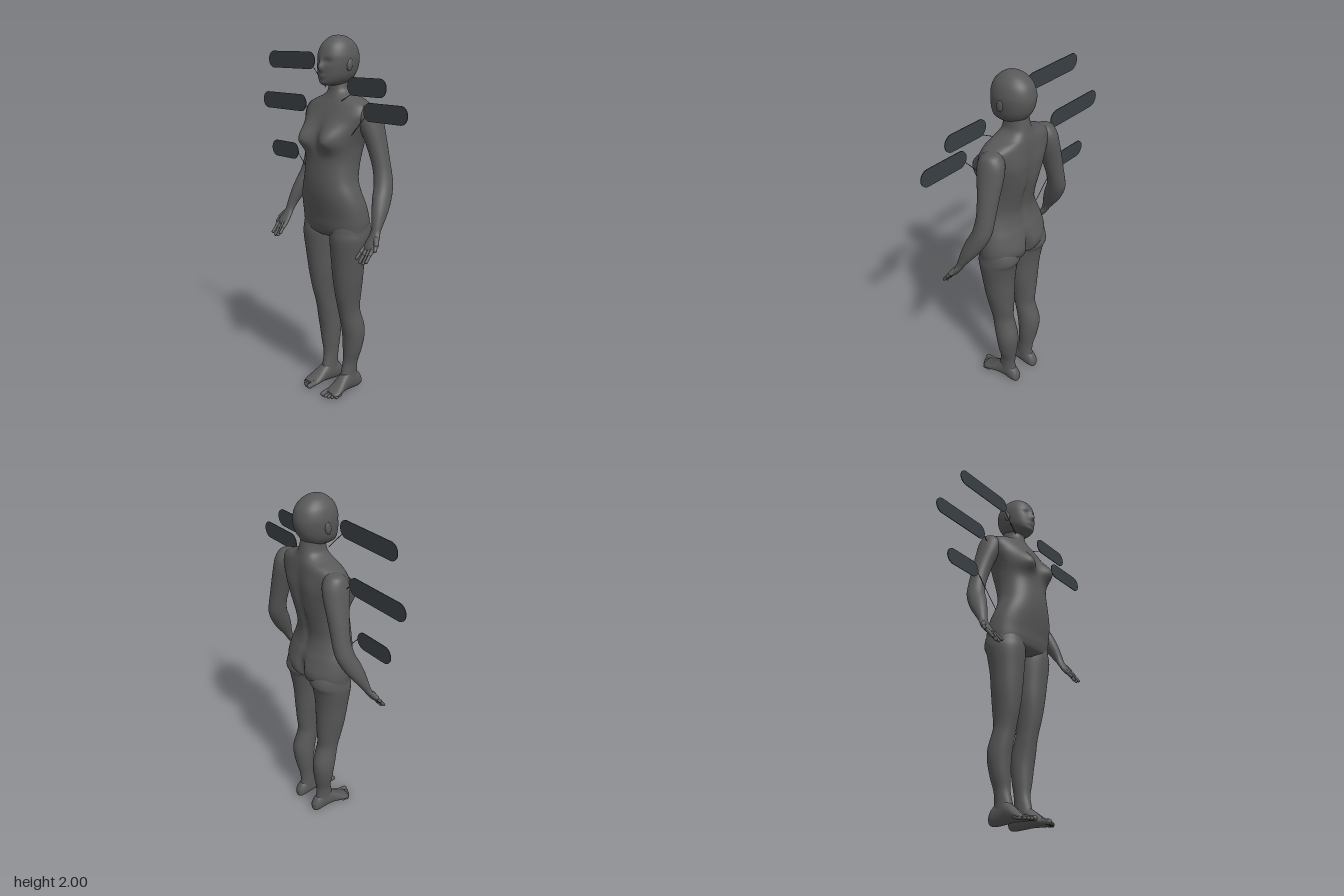
import * as THREE from 'three';

const CX = 0.055; // the figure stands slightly left of the origin
const skin = new THREE.MeshStandardMaterial({ color: 0x595959 });
const tagMat = new THREE.MeshStandardMaterial({ color: 0x3a4044 });

const spline = (a, b, c, d, t) =>
  0.5 * (2 * b + (c - a) * t + (2 * a - 5 * b + 4 * c - d) * t * t + (3 * b - a - 3 * c + d) * t * t * t);

// Smooth skin over cross-sections [position, centre x, half width, high edge, low edge].
// axis 'y': rows run downwards, edges are front and back z. axis 'z': rows run forwards, edges are top and bottom y.
function loft(rows, { axis = 'y', side = 1, power = 2, seg = 48, steps = 5, deform } = {}) {
  const at = i => rows[Math.min(rows.length - 1, Math.max(0, i))];
  const rings = [];
  for (let i = 0; i < rows.length - 1; i++)
    for (let s = 0; s < steps; s++)
      rings.push(at(i).map((v, k) => spline(at(i - 1)[k], v, at(i + 1)[k], at(i + 2)[k], s / steps)));
  rings.push(at(rows.length - 1));

  const pos = [], idx = [];
  const put = (x, e, t) => {
    const v = axis === 'y' ? new THREE.Vector3(x, t, e) : new THREE.Vector3(x, e, t);
    if (deform) deform(v);
    pos.push(v.x * side, v.y, v.z);
  };
  const tri = (a, b, c) => (side > 0 ? idx.push(a, b, c) : idx.push(a, c, b));
  const soft = v => Math.sign(v) * Math.abs(v) ** (2 / power);
  for (const [t, c, w, hi, lo] of rings)
    for (let j = 0; j < seg; j++) {
      const a = (j / seg) * Math.PI * 2;
      put(c + w * soft(Math.cos(a)), (hi + lo) / 2 + ((hi - lo) / 2) * soft(Math.sin(a)), t);
    }
  for (let i = 0; i < rings.length - 1; i++)
    for (let j = 0; j < seg; j++) {
      const a = i * seg + j, b = i * seg + ((j + 1) % seg);
      tri(a, b, a + seg);
      tri(b, b + seg, a + seg);
    }
  // end caps
  const last = rings.length - 1, n = rings.length * seg;
  for (const r of [rings[0], rings[last]]) put(r[1], (r[3] + r[4]) / 2, r[0]);
  for (let j = 0; j < seg; j++) {
    const k = (j + 1) % seg;
    tri(n, k, j);
    tri(n + 1, last * seg + j, last * seg + k);
  }
  const geo = new THREE.BufferGeometry();
  geo.setAttribute('position', new THREE.Float32BufferAttribute(pos, 3));
  geo.setIndex(idx);
  geo.computeVertexNormals();
  return geo;
}

const bell = (v, x, y, sx, sy) => Math.exp(-(((v.x - x) / sx) ** 2) - ((v.y - y) / sy) ** 2);

function add(parent, name, geo, mat = skin) {
  const mesh = new THREE.Mesh(geo, mat);
  mesh.name = name;
  parent.add(mesh);
  return mesh;
}

// Rounded rod between two points
function rod(parent, name, a, b, r, mat = skin) {
  const p = new THREE.Vector3(...a), q = new THREE.Vector3(...b), d = q.clone().sub(p);
  const mesh = add(parent, name, new THREE.CapsuleGeometry(r, d.length(), 5, 12), mat);
  mesh.position.copy(p).add(q).multiplyScalar(0.5);
  mesh.quaternion.setFromUnitVectors(new THREE.Vector3(0, 1, 0), d.normalize());
}

// Face relief: nose, lips, chin and eye sockets
function face(v) {
  if (v.z < 0) return;
  const m = { x: Math.abs(v.x), y: v.y };
  v.z += 0.017 * bell(v, 0, 1.835, 0.016, 0.02) + 0.009 * bell(v, 0, 1.86, 0.012, 0.028)
    + 0.006 * bell(v, 0, 1.792, 0.026, 0.013) + 0.005 * bell(v, 0, 1.757, 0.03, 0.012)
    - 0.008 * bell(m, 0.034, 1.868, 0.022, 0.016);
}

// Trunk relief: breasts and collar in front; spine groove, shoulder blades and seat cleft behind
function trunk(v) {
  const m = { x: Math.abs(v.x), y: v.y };
  if (v.z > 0) {
    v.z += 0.062 * bell(m, 0.097, 1.465, 0.066, v.y < 1.465 ? 0.054 : 0.085);
  } else if (v.z < -0.06) {
    v.z += 0.014 * bell(v, 0, 1.36, 0.025, 0.2) - 0.008 * bell(m, 0.09, 1.54, 0.05, 0.08)
      + 0.045 * bell(v, 0, 1.0, 0.02, 0.075) - 0.006 * bell(m, 0.09, 1.03, 0.06, 0.05);
  }
}

const headRows = [
  [2.0, 0, 0.004, -0.032, -0.045], [1.995, 0, 0.03, -0.002, -0.075], [1.978, 0, 0.057, 0.028, -0.11],
  [1.945, 0, 0.082, 0.06, -0.143], [1.9, 0, 0.095, 0.077, -0.159], [1.86, 0, 0.095, 0.081, -0.159],
  [1.82, 0, 0.089, 0.081, -0.148], [1.79, 0, 0.08, 0.079, -0.13], [1.765, 0, 0.064, 0.076, -0.11],
  [1.75, 0, 0.045, 0.066, -0.09], [1.743, 0, 0.02, 0.045, -0.06],
];
const trunkRows = [
  [1.8, 0, 0.055, 0, -0.115], [1.75, 0, 0.057, 0.008, -0.127], [1.715, 0, 0.068, 0.012, -0.135],
  [1.69, 0, 0.105, 0.02, -0.141], [1.672, 0, 0.158, 0.028, -0.145], [1.645, 0, 0.208, 0.043, -0.149],
  [1.6, 0, 0.224, 0.066, -0.153], [1.55, 0, 0.21, 0.086, -0.156], [1.5, 0, 0.189, 0.103, -0.155],
  [1.45, 0, 0.172, 0.113, -0.152], [1.4, 0, 0.163, 0.12, -0.143], [1.33, 0, 0.159, 0.125, -0.125],
  [1.25, 0, 0.167, 0.13, -0.11], [1.18, 0, 0.19, 0.127, -0.118], [1.12, 0, 0.207, 0.118, -0.138],
  [1.05, 0, 0.216, 0.104, -0.155], [1.0, 0, 0.215, 0.097, -0.153], [0.96, 0, 0.205, 0.083, -0.13],
  [0.935, 0, 0.15, 0.05, -0.08],
];
const armRows = [
  [1.66, 0.19, 0.012, -0.065, -0.085], [1.655, 0.193, 0.033, -0.045, -0.108], [1.638, 0.198, 0.05, -0.022, -0.128],
  [1.6, 0.203, 0.06, -0.002, -0.147], [1.54, 0.216, 0.061, -0.006, -0.152], [1.45, 0.243, 0.054, -0.03, -0.15],
  [1.36, 0.268, 0.049, -0.045, -0.148], [1.3, 0.284, 0.047, -0.045, -0.148], [1.24, 0.3, 0.047, -0.033, -0.142],
  [1.18, 0.316, 0.045, -0.006, -0.118], [1.12, 0.332, 0.04, 0.015, -0.082], [1.06, 0.346, 0.031, 0.03, -0.036],
  [1.02, 0.352, 0.028, 0.04, -0.006], [0.99, 0.357, 0.036, 0.055, 0.014], [0.96, 0.359, 0.041, 0.075, 0.034],
  [0.94, 0.357, 0.039, 0.083, 0.05], [0.93, 0.356, 0.03, 0.082, 0.06],
];
const legRows = [
  [1.09, 0.105, 0.06, 0.03, -0.1], [1.03, 0.108, 0.098, 0.07, -0.138], [0.97, 0.109, 0.106, 0.083, -0.152],
  [0.92, 0.11, 0.105, 0.086, -0.132], [0.81, 0.106, 0.092, 0.075, -0.115], [0.7, 0.102, 0.082, 0.063, -0.111],
  [0.6, 0.099, 0.067, 0.048, -0.109], [0.52, 0.096, 0.058, 0.028, -0.105], [0.47, 0.096, 0.058, 0.016, -0.117],
  [0.4, 0.099, 0.061, 0.002, -0.139], [0.335, 0.098, 0.061, -0.01, -0.141], [0.25, 0.092, 0.052, -0.017, -0.129],
  [0.18, 0.084, 0.039, -0.02, -0.115], [0.12, 0.081, 0.036, -0.008, -0.112], [0.07, 0.081, 0.035, 0.004, -0.122],
  [0.04, 0.081, 0.028, 0, -0.115],
];
const footRows = [
  [-0.146, 0.081, 0.01, 0.05, 0.02], [-0.138, 0.081, 0.025, 0.072, 0.006], [-0.11, 0.081, 0.034, 0.105, 0],
  [-0.05, 0.082, 0.036, 0.13, 0.002], [0, 0.086, 0.041, 0.1, 0.006], [0.045, 0.091, 0.048, 0.065, 0.005],
  [0.08, 0.093, 0.049, 0.043, 0.005], [0.1, 0.09, 0.04, 0.034, 0.01],
];

function limbs(body, side, label) {
  const s = (x, y, z) => [x * side, y, z];
  const arm = new THREE.Group(), leg = new THREE.Group();
  arm.name = label + 'Arm';
  leg.name = label + 'Leg';
  body.add(arm, leg);

  add(arm, 'armAndPalm', loft(armRows, { side, seg: 36 }));
  // [base x, tip x, tip y], little finger to index; palms face forward
  [[0.327, 0.319, 0.892], [0.347, 0.342, 0.876], [0.367, 0.366, 0.873], [0.386, 0.389, 0.885]].forEach(
    ([x0, x1, y1]) => {
      const knuckle = [(x0 + x1) / 2, (y1 + 0.95) / 2, 0.092];
      rod(arm, 'finger', s(x0, 0.95, 0.062), s(...knuckle), 0.0105);
      rod(arm, 'finger', s(...knuckle), s(x1, y1, 0.118), 0.0085);
    });
  rod(arm, 'thumb', s(0.378, 0.99, 0.04), s(0.395, 0.965, 0.055), 0.014);
  rod(arm, 'thumb', s(0.395, 0.965, 0.055), s(0.404, 0.94, 0.073), 0.01);

  add(leg, 'leg', loft(legRows, { side, seg: 40 }));
  add(leg, 'foot', loft(footRows, { axis: 'z', side, seg: 32, power: 2.1 }));
  for (let i = 0; i < 5; i++) {
    const r = i ? 0.0105 - i * 0.0005 : 0.015;
    const x = i ? 0.065 + i * 0.0175 : 0.06;
    const tip = 0.127 - i * i * 0.0022;
    rod(leg, 'toe', s(x, r + 0.012, 0.07 - i * 0.004), s(x, r + 0.005, tip - r * 0.3), r);
  }

  const ear = add(body, label + 'Ear', new THREE.SphereGeometry(1, 20, 14));
  ear.position.set(0.093 * side, 1.85, -0.035);
  ear.scale.set(0.01, 0.033, 0.019);
  ear.rotation.x = -0.2;
}

// Blank pill-shaped tag with a thin pointer to the body
function callout(parent, name, [x0, x1, y0, y1, z], from, to) {
  const tag = new THREE.Group();
  tag.name = name;
  parent.add(tag);
  const r = (y1 - y0) / 2, pill = new THREE.Shape();
  pill.absarc(x1 - r, y0 + r, r, -Math.PI / 2, Math.PI / 2);
  pill.absarc(x0 + r, y0 + r, r, Math.PI / 2, Math.PI * 1.5);
  const plate = new THREE.ExtrudeGeometry(pill, { depth: 0.004, bevelEnabled: false, curveSegments: 20 });
  add(tag, 'plate', plate, tagMat).position.z = z - 0.002;
  rod(tag, 'pointer', [...from, z], [...to, z], 0.0018, tagMat);
}

export function createModel() {
  const model = new THREE.Group();
  model.name = 'anatomyFigure';
  const body = new THREE.Group();
  body.name = 'body';
  body.position.x = CX;
  model.add(body);

  add(body, 'head', loft(headRows, { seg: 96, power: 2.1, steps: 8, deform: face }));
  add(body, 'neckAndTrunk', loft(trunkRows, { seg: 96, power: 2.25, steps: 6, deform: trunk }));
  limbs(body, 1, 'left');
  limbs(body, -1, 'right');

  callout(model, 'throatTag', [-0.495, -0.09, 1.82, 1.913, 0], [-0.1, 1.83], [0, 1.73]);
  callout(model, 'chestTag', [0.19, 0.465, 1.7, 1.793, 0.02], [0.215, 1.705], [0.14, 1.665]);
  callout(model, 'upperBellyTag', [0.32, 0.617, 1.58, 1.673, 0.03], [0.33, 1.6], [0.235, 1.5]);
  callout(model, 'kidneyTag', [-0.622, -0.225, 1.58, 1.675, -0.05], [-0.23, 1.62], [-0.12, 1.5]);
  callout(model, 'pelvisTag', [-0.53, -0.285, 1.3, 1.395, -0.04], [-0.29, 1.345], [-0.125, 1.17]);
  return model;
}
